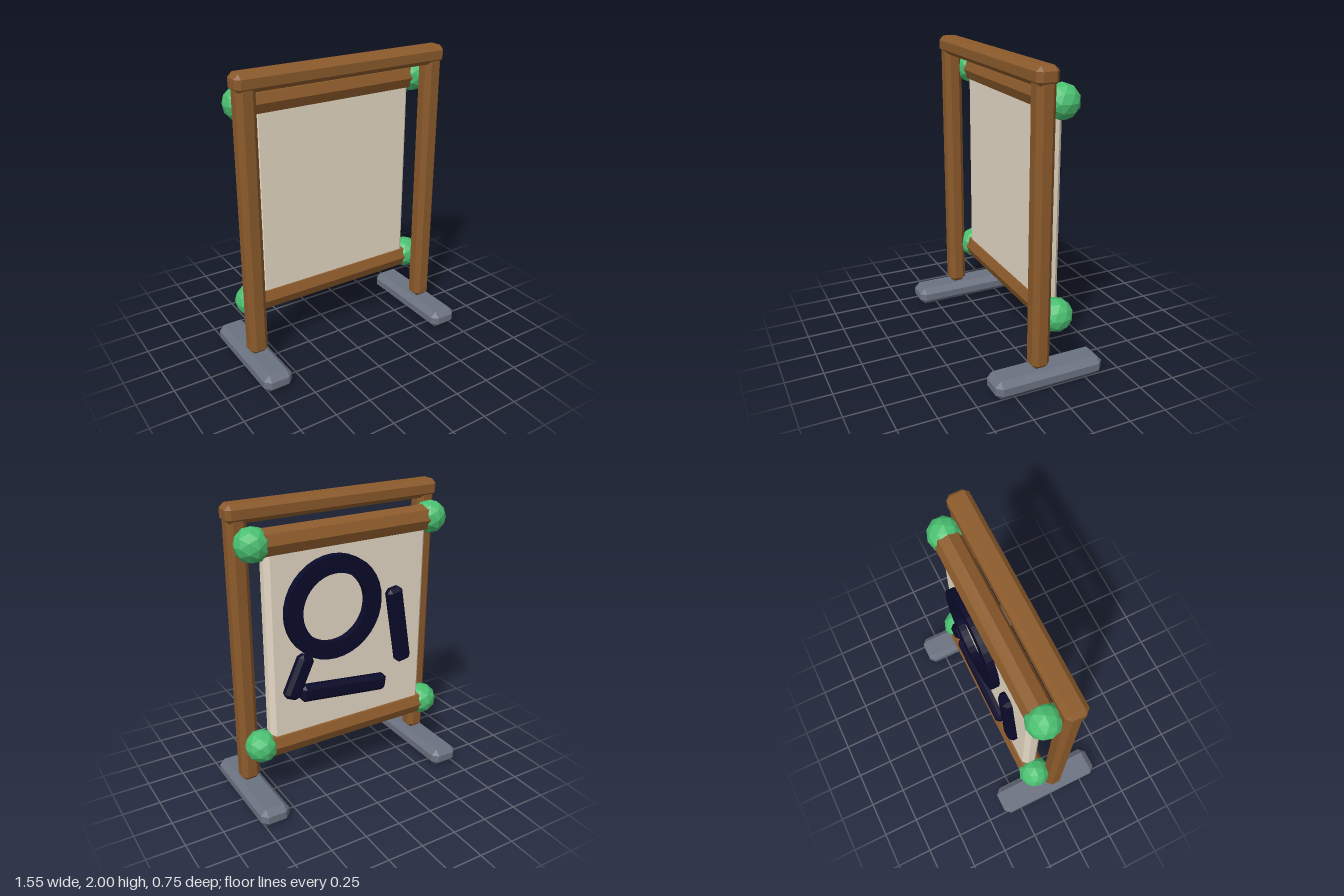
import * as THREE from 'three';
import { ConvexGeometry } from 'three/addons/geometries/ConvexGeometry.js';

// Box with flat chamfers on every edge
function chamferBox(w, h, d, c) {
  const x = w / 2, y = h / 2, z = d / 2, points = [];
  for (const sx of [-1, 1]) for (const sy of [-1, 1]) for (const sz of [-1, 1]) {
    points.push(
      new THREE.Vector3(sx * x, sy * (y - c), sz * (z - c)),
      new THREE.Vector3(sx * (x - c), sy * y, sz * (z - c)),
      new THREE.Vector3(sx * (x - c), sy * (y - c), sz * z));
  }
  return new ConvexGeometry(points);
}

export function createModel() {
  const group = new THREE.Group();
  const material = (name, color) => {
    const m = new THREE.MeshStandardMaterial({ color, flatShading: true });
    m.name = name;
    return m;
  };
  const wood = material('wood', 0x8b5a2b);
  const stone = material('stoneGrey', 0x6b7280);
  const cloth = material('cream', 0xe5d9c5);
  const ink = material('navy', 0x0a0a2a);
  const green = material('green', 0x4abf70);

  const add = (name, geometry, mat, x, y, z) => {
    const mesh = new THREE.Mesh(geometry, mat);
    mesh.name = name;
    mesh.position.set(x, y, z);
    group.add(mesh);
    return mesh;
  };

  // Feet and posts
  for (const [side, s] of [['left', 1], ['right', -1]]) {
    add(side + 'Foot', chamferBox(0.2, 0.125, 0.75, 0.038), stone, s * 0.677, 0.0625, 0);
    add(side + 'Post', chamferBox(0.127, 1.81, 0.123, 0.032), wood, s * 0.677, 1.03, 0.053);
  }
  add('topBeam', chamferBox(1.5, 0.118, 0.143, 0.03), wood, 0, 1.941, 0.052);

  // Octagonal rollers with faceted end knobs
  const axisZ = -0.087;
  for (const [level, y] of [['upper', 1.778], ['lower', 0.431]]) {
    const roller = add(level + 'Roller', new THREE.CylinderGeometry(0.09, 0.09, 1.27, 8), wood, 0, y, axisZ);
    roller.rotation.z = Math.PI / 2;
    for (const [side, s] of [['Left', 1], ['Right', -1]]) {
      add(level + side + 'Knob', new THREE.IcosahedronGeometry(0.11, 1), green, s * 0.635, y, axisZ);
    }
  }

  // Panel between the rollers
  add('panel', chamferBox(1.16, 1.33, 0.11, 0.03), cloth, 0, 1.105, -0.085);

  // Raised ring on the back
  const ring = new THREE.Shape().absarc(0, 0, 0.342, 0, Math.PI * 2, false);
  ring.holes.push(new THREE.Path().absarc(0, 0, 0.228, 0, Math.PI * 2, true));
  add('backRing', new THREE.ExtrudeGeometry(ring, { depth: 0.06, bevelEnabled: false, curveSegments: 18 }),
    ink, 0.137, 1.322, -0.19);

  // Raised bars on the back, each given by its two end points
  const bars = [
    ['uprightBar', -0.317, 1.365, -0.41, 0.825],
    ['lowerBar', 0.38, 0.775, -0.265, 0.7],
    ['shortBar', 0.328, 1.035, 0.455, 0.76],
  ];
  for (const [name, x1, y1, x2, y2] of bars) {
    const length = Math.hypot(x2 - x1, y2 - y1);
    const bar = add(name, chamferBox(length, 0.115, 0.11, 0.025), ink, (x1 + x2) / 2, (y1 + y2) / 2, -0.14);
    bar.rotation.z = Math.atan2(y2 - y1, x2 - x1);
  }

  return group;
}
